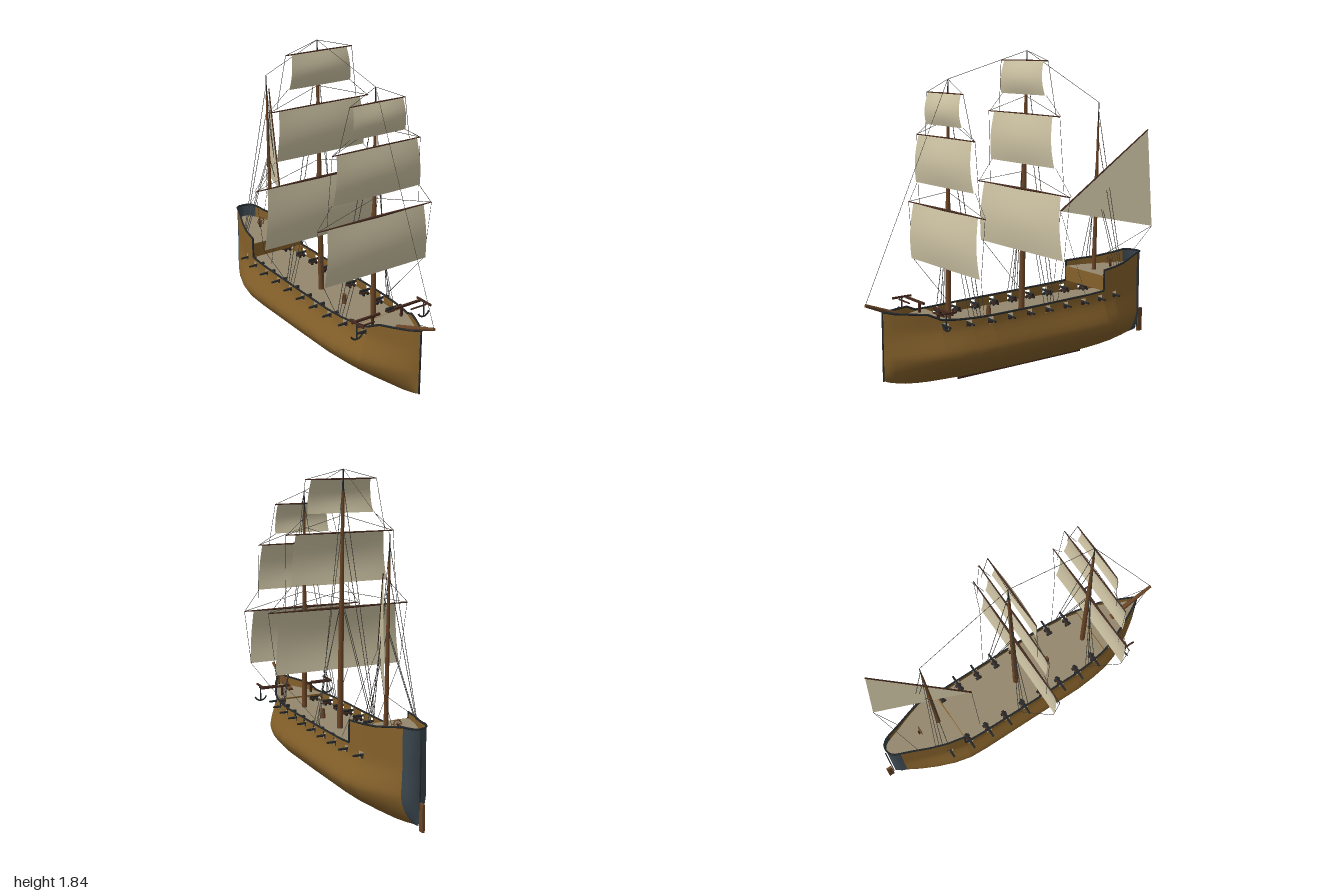
import * as THREE from 'three';

const mat = (name, color, side = THREE.FrontSide) => {
  const m = new THREE.MeshStandardMaterial({ color, side });
  m.name = name;
  return m;
};
const M = {
  hull: mat('golden planking', 0x84602a, THREE.DoubleSide),
  deck: mat('deck boards', 0x94876d, THREE.DoubleSide),
  sail: mat('canvas', 0xcbc1a2, THREE.DoubleSide),
  mast: mat('mast wood', 0x694426),
  spar: mat('dark spar wood', 0x472a1e),
  slate: mat('slate stern', 0x3a464e, THREE.DoubleSide),
  iron: mat('black iron', 0x24282a),
  rope: mat('rope', 0x3b3a36),
};
const V = (x, y, z) => new THREE.Vector3(x, y, z);

// Hull stations: z, keel height, widest half beam, rail half beam, rail height
const ST = [
  [-0.95, 0.07, 0, 0, 0.582], [-0.943, 0.068, 0.035, 0.032, 0.583], [-0.92, 0.064, 0.058, 0.054, 0.585],
  [-0.89, 0.06, 0.072, 0.066, 0.585], [-0.82, 0.045, 0.115, 0.09, 0.57], [-0.72, 0.028, 0.165, 0.128, 0.552],
  [-0.62, 0.02, 0.205, 0.16, 0.545], [-0.516, 0.015, 0.23, 0.18, 0.54], [-0.514, 0.015, 0.23, 0.18, 0.415],
  [-0.4, 0.012, 0.235, 0.185, 0.41], [0, 0.01, 0.235, 0.187, 0.403], [0.3, 0.013, 0.235, 0.187, 0.4],
  [0.42, 0.017, 0.225, 0.178, 0.4], [0.52, 0.022, 0.21, 0.163, 0.403], [0.61, 0.027, 0.183, 0.14, 0.41],
  [0.68, 0.034, 0.15, 0.112, 0.443], [0.76, 0.045, 0.105, 0.077, 0.45], [0.84, 0.065, 0.05, 0.036, 0.457],
  [0.87, 0.075, 0.025, 0.018, 0.463], [0.895, 0.088, 0, 0, 0.468],
];
const at = (z, k) => {
  let i = 0;
  while (i < ST.length - 2 && z > ST[i + 1][0]) i++;
  const t = (z - ST[i][0]) / (ST[i + 1][0] - ST[i][0]);
  return THREE.MathUtils.lerp(ST[i][k], ST[i + 1][k], t);
};
const halfWidth = (z, y) => {
  const yb = at(z, 1), B = at(z, 2), R = at(z, 3);
  if (y < 0.23) return B * Math.pow(Math.sin((Math.max(y - yb, 0) / (0.23 - yb)) * Math.PI / 2), 0.85);
  return THREE.MathUtils.lerp(B, R, THREE.MathUtils.smoothstep(y, 0.2, 0.375));
};
const PORTS = Array.from({ length: 10 }, (_, i) => -0.617 + 0.134 * i);
const PORT_HALF = 0.017;

function mesh(parent, name, geo, material, x = 0, y = 0, z = 0) {
  const m = new THREE.Mesh(geo, material);
  m.name = name;
  m.position.set(x, y, z);
  parent.add(m);
  return m;
}
const box = (p, name, w, h, d, m, x, y, z) => mesh(p, name, new THREE.BoxGeometry(w, h, d), m, x, y, z);
function rod(p, name, a, b, r1, r2, m, sides = 8) {
  const o = mesh(p, name, new THREE.CylinderGeometry(r2, r1, a.distanceTo(b), sides), m);
  o.position.copy(a).lerp(b, 0.5);
  o.quaternion.setFromUnitVectors(V(0, 1, 0), b.clone().sub(a).normalize());
  return o;
}
const rope = (p, a, b, r = 0.0013) => rod(p, 'rope', a, b, r, r, M.rope, 4);

// One side of the planking between two z limits, with open gun ports
function shell(side, z0, z1) {
  const zs = [...ST.map(s => s[0]), ...PORTS.flatMap(z => [z - PORT_HALF, z + PORT_HALF])]
    .filter(z => z >= z0 && z <= z1).sort((a, b) => a - b);
  const low = [0, 0.03, 0.08, 0.16, 0.26, 0.38, 0.52, 0.66, 0.8, 0.92];
  const rows = z => [...low.map(f => at(z, 1) + f * (0.23 - at(z, 1))), 0.24, 0.27, 0.3, 0.33, 0.355, 0.393, at(z, 4)];
  const n = rows(0).length, pos = [], idx = [];
  zs.forEach(z => rows(z).forEach(y => pos.push(side * halfWidth(z, y), y, z)));
  for (let j = 0; j < zs.length - 1; j++) for (let i = 0; i < n - 1; i++) {
    const mid = (zs[j] + zs[j + 1]) / 2;
    if (i === n - 3 && PORTS.some(p => Math.abs(p - mid) < PORT_HALF)) continue;
    const a = j * n + i, b = a + 1, c = a + n, d = c + 1;
    if (side > 0) idx.push(a, b, c, b, d, c); else idx.push(a, c, b, b, c, d);
  }
  const g = new THREE.BufferGeometry();
  g.setAttribute('position', new THREE.Float32BufferAttribute(pos, 3));
  g.setIndex(idx);
  g.computeVertexNormals();
  return g;
}

// Flat deck that follows the hull sides at height y
function deck(p, name, y, z0, z1) {
  const pts = [];
  for (let i = 0; i <= 24; i++) {
    const z = z0 + (z1 - z0) * i / 24;
    pts.push(new THREE.Vector2(halfWidth(z, y), -z));
  }
  const all = [...pts, ...pts.slice().reverse().map(q => new THREE.Vector2(-q.x, q.y))];
  mesh(p, name, new THREE.ShapeGeometry(new THREE.Shape(all)).rotateX(-Math.PI / 2), M.deck, 0, y, 0);
}

// Billowing square sail
function squareSail(p, top, bottom, yTop, yBot, z) {
  const g = new THREE.PlaneGeometry(2, 1, 10, 10), q = g.attributes.position;
  for (let i = 0; i < q.count; i++) {
    const u = q.getX(i), v = q.getY(i) + 0.5;
    const belly = Math.sin(Math.PI * Math.min(1, v * 0.9 + 0.1)) * (1 - 0.35 * u * u);
    q.setXYZ(i, u * (bottom + (top - bottom) * v), yBot + (yTop - yBot) * v, z + 0.028 * belly);
  }
  g.computeVertexNormals();
  mesh(p, 'squareSail', g, M.sail);
}

// Mast with rigging; sails: [yard y, yard half, sail top half, sail bottom half, sail bottom y]
function mast(ship, name, yBase, zBase, yTop, zTop, r, sails) {
  const g = new THREE.Group();
  g.name = name;
  ship.add(g);
  const P = y => V(0, y, zBase + (zTop - zBase) * (y - yBase) / (yTop - yBase));
  const mid = yBase + (yTop - yBase) * 0.5;
  rod(g, 'lowerMast', P(yBase), P(mid), r, r * 0.8, M.mast, 10);
  rod(g, 'upperMast', P(mid), P(yTop - 0.12), r * 0.75, r * 0.45, M.mast, 10);
  rod(g, 'mastTip', P(yTop - 0.13), P(yTop), r * 0.35, r * 0.15, M.iron, 6);
  sails.forEach(([y, half, top, bot, yb], i) => {
    const z = P(y).z + 0.021;
    for (const s of [-1, 1]) {
      rod(g, 'yard', V(0, y, z), V(s * half, y, z), i ? 0.005 : 0.008, 0.003, M.spar);
      // sheet to the yard below, or to the rail
      const below = sails[i - 1];
      rope(g, V(s * bot, yb, z), below ? V(s * below[1], below[0], z) : V(s * 0.18, 0.41, z - 0.13));
      rope(g, V(s * half, y, z), P(Math.min(y + 0.1, yTop)));
      rope(g, V(s * half, y, z), below ? V(s * below[1] * 0.8, below[0], z - 0.02) : V(s * bot, yb, z));
    }
    squareSail(g, top, bot, y - 0.002, yb, z + 0.004);
  });
  // shrouds
  const foot = at(zBase, 4);
  for (const s of [-1, 1]) for (const [f, dz] of [[0.5, 0.03], [0.52, 0.06], [0.8, 0.08], [0.95, 0.1]]) {
    const z = zBase - dz;
    rope(g, P(yBase + (yTop - yBase) * f), V(s * halfWidth(z, foot) * 0.96, foot, z), 0.0018);
  }
}

function cannon(ship, s, z) {
  const g = new THREE.Group(), w = halfWidth(z, 0.375);
  g.name = 'cannon';
  ship.add(g);
  box(g, 'carriage', 0.048, 0.012, 0.026, M.spar, s * (w - 0.03), 0.36, z);
  rod(g, 'barrel', V(s * (w - 0.058), 0.373, z), V(s * (w + 0.048), 0.373, z), 0.0095, 0.006, M.iron);
  for (const dx of [-0.045, -0.015]) for (const dz of [-0.016, 0.016])
    rod(g, 'wheel', V(s * (w + dx), 0.354, z + dz - 0.003), V(s * (w + dx), 0.354, z + dz + 0.003), 0.009, 0.009, M.iron);
}

export function createModel() {
  const ship = new THREE.Group();
  ship.name = 'sailingShip';

  for (const s of [-1, 1]) {
    mesh(ship, 'hullSide', shell(s, -0.89, 0.895), M.hull);
    mesh(ship, 'sternPost', shell(s, -0.95, -0.89), M.slate);
    // dark capping along the rail
    for (let i = 0; i < ST.length - 1; i++) {
      const [a, b] = [ST[i], ST[i + 1]].map(q => V(s * q[3], q[4], q[0]));
      rod(ship, 'railCap', a, b, 0.006, 0.006, M.iron, 6);
    }
    PORTS.forEach(z => cannon(ship, s, z));
  }
  rod(ship, 'stem', V(0, 0.085, 0.895), V(0, 0.468, 0.895), 0.005, 0.005, M.iron, 6);
  box(ship, 'keel', 0.008, 0.012, 0.9, M.spar, 0, 0.01, -0.03);

  // Decks and bulkheads
  deck(ship, 'mainDeck', 0.343, -0.9, 0.88);
  deck(ship, 'poopDeck', 0.505, -0.945, -0.515);
  deck(ship, 'foreDeck', 0.4, 0.54, 0.885);
  box(ship, 'poopBulkhead', 0.358, 0.09, 0.008, M.hull, 0, 0.46, -0.515);
  box(ship, 'foreBulkhead', 0.3, 0.01, 0.006, M.hull, 0, 0.395, 0.54);

  // Masts and square sails
  mast(ship, 'foreMast', 0.343, 0.48, 1.69, 0.465, 0.016, [
    [0.98, 0.385, 0.325, 0.347, 0.655], [1.375, 0.29, 0.265, 0.29, 1.105], [1.615, 0.18, 0.163, 0.178, 1.44]]);
  mast(ship, 'mainMast', 0.343, -0.03, 1.84, -0.07, 0.018, [
    [1.055, 0.44, 0.365, 0.395, 0.695], [1.485, 0.335, 0.275, 0.3, 1.2], [1.785, 0.22, 0.183, 0.205, 1.595]]);
  mast(ship, 'mizzenMast', 0.505, -0.59, 1.53, -0.615, 0.013, []);

  // Lateen sail on its slanting yard
  const A = V(-0.065, 0.88, -0.375), B = V(0.17, 1.365, -0.862), C = V(0.18, 0.77, -0.9);
  const tri = new THREE.BufferGeometry().setFromPoints([A, B, C]);
  tri.computeVertexNormals();
  mesh(ship, 'lateenSail', tri, M.sail);
  rod(ship, 'lateenYard', A, B, 0.005, 0.004, M.spar);
  rope(ship, A, V(-0.13, 0.41, -0.38));
  rope(ship, A, V(0.16, 0.41, -0.385));
  rope(ship, C, V(0.08, 0.57, -0.8));
  rope(ship, C, V(-0.1, 0.57, -0.79));

  // Stays between mast heads
  const stay = [V(0, 0.52, 0.995), V(0, 1.69, 0.465), V(0, 1.84, -0.07), V(0, 1.53, -0.615)];
  for (let i = 0; i < 3; i++) rope(ship, stay[i], stay[i + 1]);

  // Bowsprit
  rod(ship, 'bowsprit', V(0, 0.4, 0.7), V(0, 0.52, 0.995), 0.018, 0.009, M.mast, 10);
  for (const s of [-1, 1]) {
    rope(ship, V(0, 0.515, 0.98), V(s * 0.05, 0.455, 0.82));
    // Catheads with hanging anchors
    box(ship, 'cathead', 0.19, 0.012, 0.012, M.spar, s * 0.145, 0.46, 0.605);
    box(ship, 'anchorBeam', 0.11, 0.007, 0.007, M.spar, s * 0.18, 0.455, 0.655);
    box(ship, 'catheadPost', 0.012, 0.06, 0.012, M.spar, s * 0.1, 0.43, 0.605);
    box(ship, 'anchorStock', 0.009, 0.011, 0.12, M.spar, s * 0.232, 0.468, 0.64);
    rod(ship, 'anchorShank', V(s * 0.232, 0.375, 0.64), V(s * 0.232, 0.475, 0.64), 0.004, 0.004, M.iron);
    const arms = mesh(ship, 'anchorArms', new THREE.TorusGeometry(0.04, 0.005, 6, 12, Math.PI * 0.8), M.iron, s * 0.232, 0.415, 0.64);
    arms.rotation.z = Math.PI * 1.1;
  }

  // Rudder
  box(ship, 'rudder', 0.014, 0.15, 0.034, M.mast, 0, 0.125, -0.982);
  rod(ship, 'rudderStock', V(0, 0.08, -0.96), V(0, 0.53, -0.96), 0.003, 0.003, M.iron, 6);

  // Steering wheel and capstan
  mesh(ship, 'steeringWheel', new THREE.TorusGeometry(0.022, 0.003, 6, 16), M.mast, 0, 0.548, -0.715);
  for (let i = 0; i < 4; i++) {
    const a = i * Math.PI / 4, d = V(Math.cos(a) * 0.03, Math.sin(a) * 0.03, 0), c = V(0, 0.548, -0.715);
    rod(ship, 'wheelSpoke', c.clone().sub(d), c.clone().add(d), 0.0015, 0.0015, M.mast, 5);
  }
  box(ship, 'wheelStand', 0.012, 0.045, 0.01, M.spar, 0, 0.527, -0.725);
  rod(ship, 'capstan', V(0, 0.343, 0.205), V(0, 0.4, 0.205), 0.015, 0.012, M.mast, 10);
  return ship;
}
